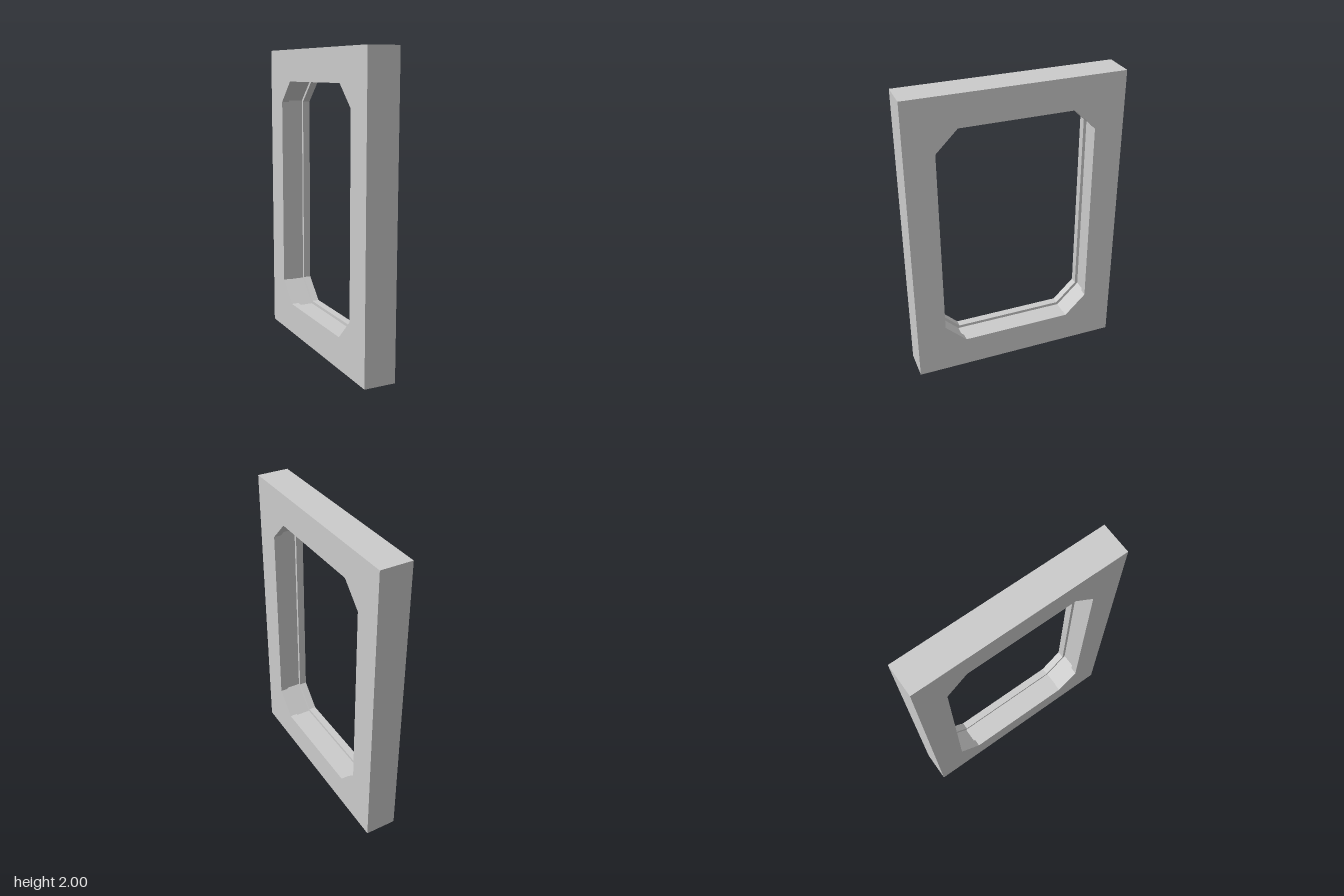
import * as THREE from 'three';

const HALF_X = 0.105;   // half thickness of the frame
const GROOVE_X = 0.055; // half width of the groove inside the opening
const GROOVE = 0.02;    // groove depth

// Eight-cornered loop around the frame centre; chamfer 0 gives a rectangle
function loop(x, halfZ, halfY, chamfer) {
  const z = halfZ - chamfer, y = halfY - chamfer;
  return [
    [-z, halfY], [z, halfY], [halfZ, y], [halfZ, -y],
    [z, -halfY], [-z, -halfY], [-halfZ, -y], [-halfZ, y],
  ].map(([pz, py]) => new THREE.Vector3(x, 1 + py, pz));
}

const outer = (x) => loop(x, 0.712, 1, 0);
const opening = (x, depth = 0) =>
  loop(x, 0.517 + depth, 0.787 + depth, 0.143 + depth * (2 - Math.SQRT2));

// Joins the loops into a closed ring with flat faces
function loftRing(loops) {
  const positions = [];
  const addTriangle = (a, b, c) => {
    if (new THREE.Triangle(a, b, c).getArea() < 1e-7) return;
    for (const p of [a, b, c]) positions.push(p.x, p.y, p.z);
  };
  loops.forEach((from, i) => {
    const to = loops[(i + 1) % loops.length];
    from.forEach((p, j) => {
      const k = (j + 1) % from.length;
      addTriangle(p, from[k], to[k]);
      addTriangle(p, to[k], to[j]);
    });
  });
  const geometry = new THREE.BufferGeometry();
  geometry.setAttribute('position', new THREE.Float32BufferAttribute(positions, 3));
  geometry.computeVertexNormals();
  return geometry;
}

export function createModel() {
  const group = new THREE.Group();
  group.name = 'windowFrame';

  // Rectangular frame, chamfered opening, groove between two lips
  const frame = new THREE.Mesh(
    loftRing([
      outer(-HALF_X),
      outer(HALF_X),
      opening(HALF_X),
      opening(GROOVE_X),
      opening(GROOVE_X, GROOVE),
      opening(-GROOVE_X, GROOVE),
      opening(-GROOVE_X),
      opening(-HALF_X),
    ]),
    new THREE.MeshStandardMaterial({ color: 0xcccccc, flatShading: true })
  );
  frame.name = 'groovedFrame';
  group.add(frame);
  return group;
}
